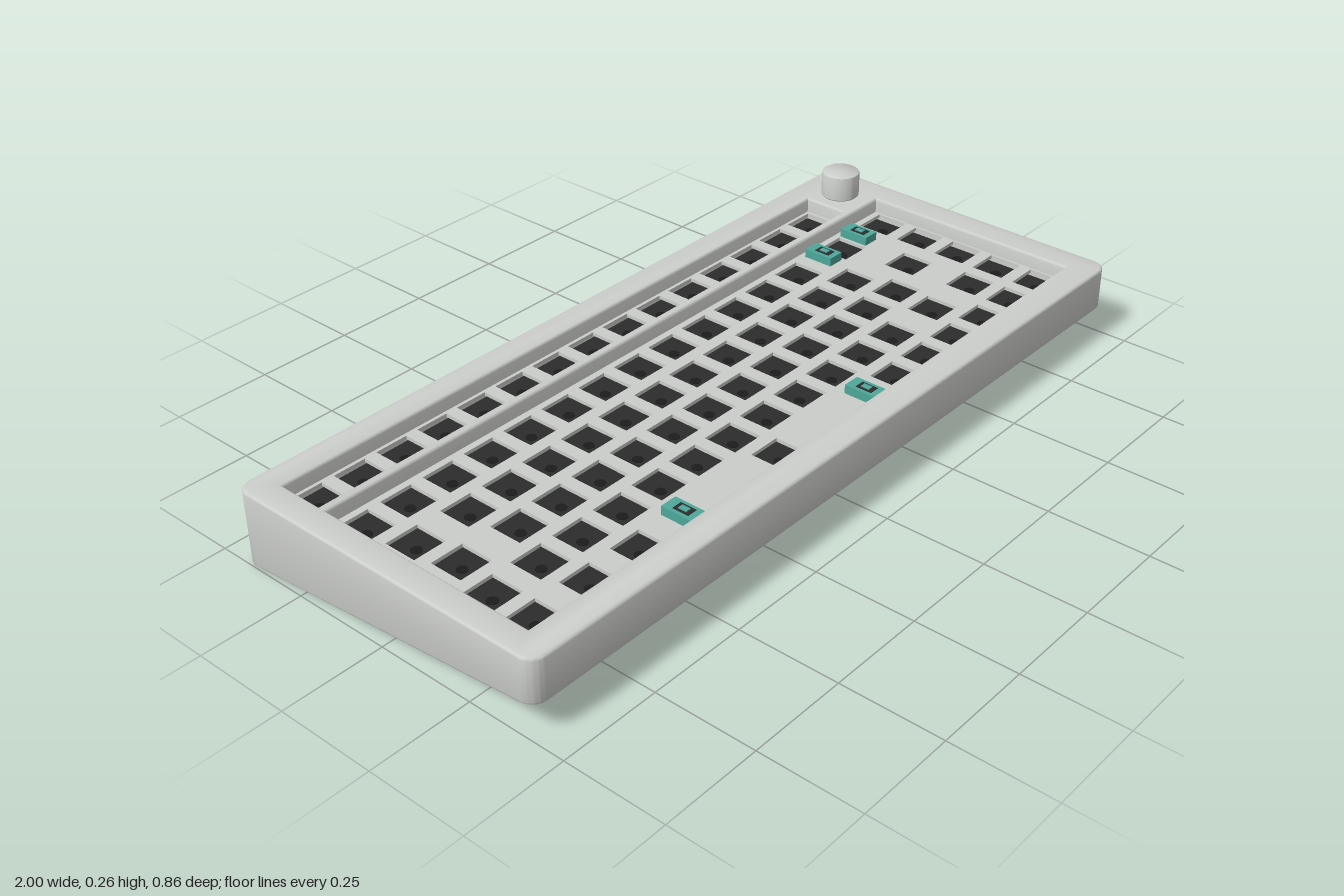
import * as THREE from 'three';
import { toCreasedNormals } from 'three/addons/utils/BufferGeometryUtils.js';

const mat = (name, color) => {
  const m = new THREE.MeshStandardMaterial({ color });
  m.name = name;
  return m;
};

// Rectangle outline given in plan (x, z); shape y is -z
function trace(path, x0, x1, z0, z1, r = 0) {
  const a = -z1, b = -z0;
  path.moveTo(x0 + r, a);
  path.lineTo(x1 - r, a);
  if (r) path.absarc(x1 - r, a + r, r, -Math.PI / 2, 0);
  path.lineTo(x1, b - r);
  if (r) path.absarc(x1 - r, b - r, r, 0, Math.PI / 2);
  path.lineTo(x0 + r, b);
  if (r) path.absarc(x0 + r, b - r, r, Math.PI / 2, Math.PI);
  path.lineTo(x0, a + r);
  if (r) path.absarc(x0 + r, a + r, r, Math.PI, Math.PI * 1.5);
  return path;
}

// Switch positions: [x, z] for every socket
const U = 0.1172;
function switchPositions() {
  const list = [];
  const run = (x, z, n) => { for (let i = 0; i < n; i++) list.push([x + i * U, z]); };
  const at = (z, ...xs) => xs.forEach((x) => list.push([x, z]));
  run(-0.882, -0.31, 15);
  run(-0.882, -0.164, 13);
  at(-0.164, 0.703, 0.877);
  at(-0.047, -0.853, 0.877);
  run(-0.706, -0.047, 12);
  at(0.012, 0.745);
  at(0.07, -0.838, 0.877);
  run(-0.677, 0.07, 12);
  at(0.187, -0.868, 0.599, 0.76, 0.877);
  run(-0.735, 0.187, 11);
  at(0.304, -0.868, -0.718, -0.574, -0.133);
  run(0.291, 0.304, 6);
  return list;
}

export function createModel() {
  const caseGray = mat('case gray', 0xcbcdca);
  const seamGray = mat('seam gray', 0x858785);
  const black = mat('socket black', 0x2c2c2c);
  const deepBlack = mat('rubber black', 0x1c1c1c);
  const teal = mat('stabilizer teal', 0x4fa89b);

  const model = new THREE.Group();
  model.name = 'keyboard';
  const add = (name, geo, material, x = 0, y = 0, z = 0, parent = model) => {
    const m = new THREE.Mesh(geo, material);
    m.name = name;
    m.position.set(x, y, z);
    parent.add(m);
    return m;
  };

  // Case: rounded slab with two openings and a sloping underside
  const TOP = 0.19, B = 0.006, SLOPE = 0.0932;
  const under = (z) => 0.04 + SLOPE * z;
  const outline = trace(new THREE.Shape(), -1, 1, -0.43, 0.43, 0.032);
  outline.holes.push(
    trace(new THREE.Path(), -0.943, 0.821, -0.372, -0.243),
    trace(new THREE.Path(), -0.943, 0.937, -0.233, 0.364),
  );
  let body = new THREE.ExtrudeGeometry(outline, {
    depth: TOP - 2 * B, bevelThickness: B, bevelSize: B, bevelOffset: 0, bevelSegments: 3, curveSegments: 6,
  });
  body.rotateX(-Math.PI / 2);
  body.translate(0, B, 0);
  body.scale(1 / (1 + B), 1, 0.43 / (0.43 + B));
  const p = body.attributes.position;
  for (let i = 0; i < p.count; i++) {
    if (p.getY(i) < TOP / 2) p.setY(i, p.getY(i) + under(p.getZ(i)));
  }
  body.computeVertexNormals();
  body = toCreasedNormals(body, 0.6);
  add('case', body, caseGray);

  // Underside panel and rubber feet follow the slope
  const tilt = -Math.atan(SLOPE);
  add('bottomPanel', new THREE.BoxGeometry(1.95, 0.01, 0.8), caseGray, 0, under(0) + 0.0035, 0).rotation.x = tilt;
  for (const x of [-0.83, 0.83]) {
    for (const z of [-0.33, 0.355]) {
      add('foot', new THREE.BoxGeometry(0.175, 0.008, 0.036), deepBlack, x, under(z) - 0.002, z).rotation.x = tilt;
    }
  }

  // Switch plate with square cutouts over a dark board
  const sockets = switchPositions();
  const H = 0.0425, PLATE = 0.152;
  const plateShape = trace(new THREE.Shape(), -0.96, 0.96, -0.39, 0.385);
  for (const [x, z] of sockets) {
    plateShape.holes.push(trace(new THREE.Path(), x - H, x + H, z - H, z + H));
  }
  const plate = new THREE.ExtrudeGeometry(plateShape, { depth: 0.009, bevelEnabled: false });
  plate.rotateX(-Math.PI / 2);
  add('switchPlate', plate, caseGray, 0, PLATE - 0.009, 0);
  add('circuitBoard', new THREE.BoxGeometry(1.92, 0.01, 0.775), black, 0, PLATE - 0.025, -0.002);

  // Centre bore in each socket
  const bore = new THREE.CylinderGeometry(0.013, 0.013, 0.002, 16);
  for (const [x, z] of sockets) add('socketBore', bore, deepBlack, x, PLATE - 0.0195, z);

  // Stabilizers beside the two wide keys
  for (const [x, z] of [[0.628, -0.168], [0.775, -0.168], [-0.442, 0.302], [0.174, 0.302]]) {
    const s = new THREE.Group();
    s.name = 'stabilizer';
    s.position.set(x, PLATE, z);
    model.add(s);
    add('stabilizerHousing', new THREE.BoxGeometry(0.045, 0.03, 0.08), teal, 0, 0.007, 0, s);
    add('stabilizerSlot', new THREE.BoxGeometry(0.026, 0.002, 0.042), black, 0, 0.0222, 0.004, s);
    add('stabilizerStem', new THREE.BoxGeometry(0.014, 0.004, 0.022), teal, 0, 0.0235, 0.004, s);
  }

  // Rotary knob
  const knob = [[0, 0], [0.046, 0], [0.049, 0.003], [0.049, 0.062], [0.048, 0.065], [0.045, 0.067], [0, 0.067]];
  const knobGeo = new THREE.LatheGeometry(knob.map(([r, y]) => new THREE.Vector2(r, y)), 40);
  add('knob', toCreasedNormals(knobGeo, 0.6), caseGray, 0.877, 0.196, -0.307);
  add('knobStem', new THREE.CylinderGeometry(0.034, 0.034, 0.01, 24), caseGray, 0.877, 0.193, -0.307);

  // Port panel on the back
  const back = (name, x, y, w, h, out, material) =>
    add(name, new THREE.BoxGeometry(w, h, 0.008), material, x, y, -0.43 + 0.004 - out);
  back('portPanelSeam', -0.66, 0.068, 0.56, 0.076, 0.001, seamGray);
  back('portPanel', -0.66, 0.068, 0.55, 0.066, 0.002, caseGray);
  back('portLabelSeam', -0.482, 0.068, 0.144, 0.036, 0.003, seamGray);
  back('portLabel', -0.482, 0.068, 0.136, 0.028, 0.004, caseGray);
  for (const x of [-0.66, -0.75]) {
    back('slideSwitchSlot', x, 0.068, 0.05, 0.018, 0.003, seamGray);
    back('slideSwitch', x, 0.068, 0.042, 0.012, 0.004, caseGray);
  }
  back('cablePort', -0.858, 0.068, 0.08, 0.03, 0.003, deepBlack);

  return model;
}
